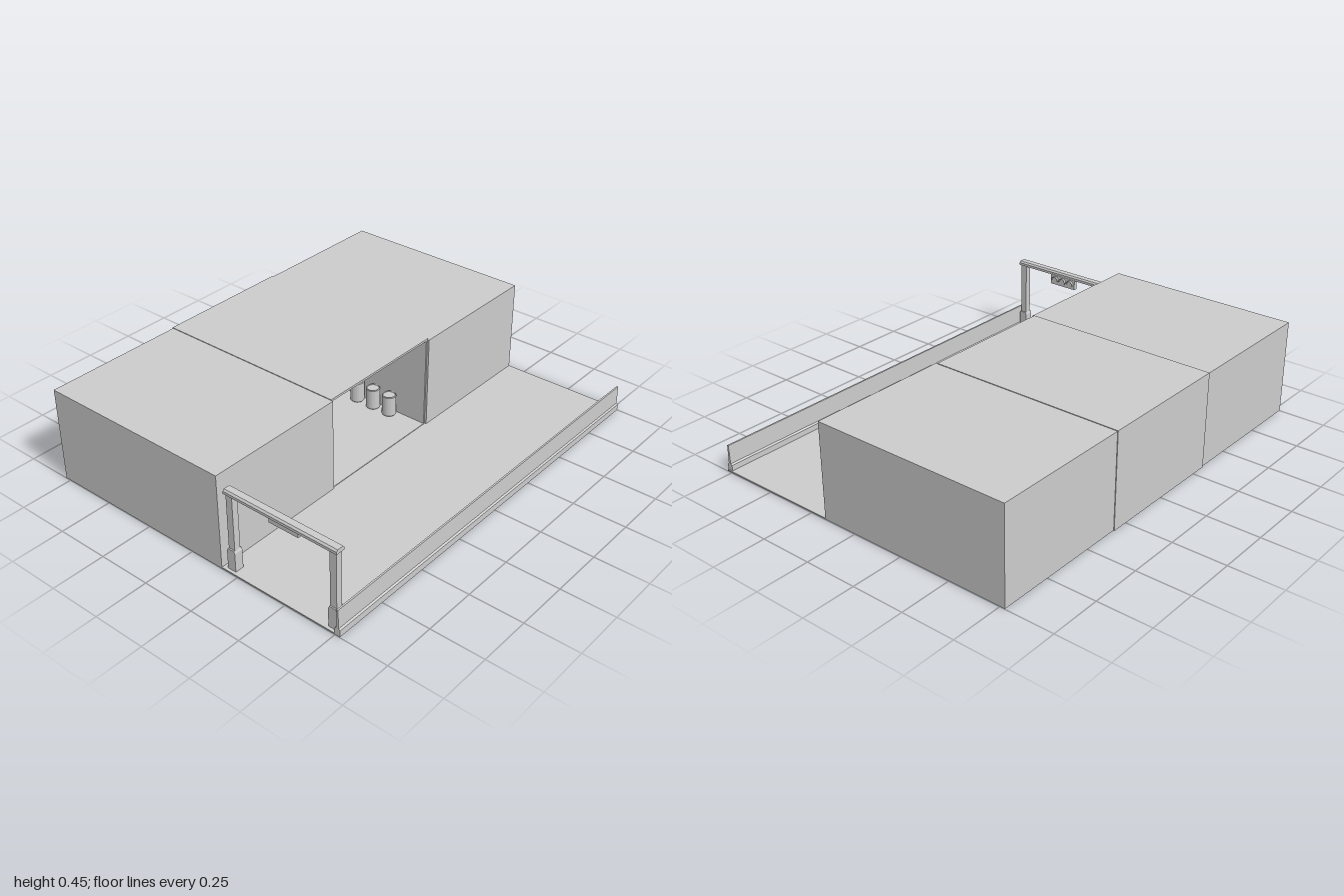
import * as THREE from 'three';

export function createModel() {
  const model = new THREE.Group();
  const mat = new THREE.MeshStandardMaterial({ color: 0xcccccc });

  const add = (name, geometry, parent = model) => {
    const mesh = new THREE.Mesh(geometry, mat);
    mesh.name = name;
    parent.add(mesh);
    return mesh;
  };
  // Box given by its min and max on each axis
  const box = (name, x0, x1, y0, y1, z0, z1, parent) => {
    const mesh = add(name, new THREE.BoxGeometry(x1 - x0, y1 - y0, z1 - z0), parent);
    mesh.position.set((x0 + x1) / 2, (y0 + y1) / 2, (z0 + z1) / 2);
    return mesh;
  };
  const group = (name) => {
    const g = new THREE.Group();
    g.name = name;
    model.add(g);
    return g;
  };
  const shape = (pts) => new THREE.Shape(pts.map(([x, y]) => new THREE.Vector2(x, y)));
  const extrude = (pts, depth) =>
    new THREE.ExtrudeGeometry(shape(pts), { depth, bevelEnabled: false });

  // Solid buildings on both sides of the open room
  box('frontBuilding', -0.775, 0.167, 0.002, 0.45, 0.325, 1);
  box('backBuilding', -0.775, 0.167, 0.002, 0.45, -1, -0.325);

  // Room shell, open towards the road
  const room = group('openRoom');
  const rx0 = -0.778, rx1 = 0.157;
  box('roomFloor', rx0, rx1, 0, 0.008, -0.328, 0.325, room);
  box('roomRoof', rx0, rx1, 0.443, 0.453, -0.328, 0.325, room);
  box('roomBackWall', rx0, rx0 + 0.01, 0.008, 0.443, -0.328, 0.325, room);
  for (const z of [-0.323, 0.32]) {
    box('roomSideWall', rx0 + 0.01, rx1, 0.008, 0.443, z - 0.005, z + 0.005, room);
  }

  // Barrels along the back side wall
  const barrelProfile = [
    [0, 0], [0.03, 0], [0.033, 0.004], [0.033, 0.1], [0.03, 0.104], [0.028, 0.1], [0, 0.1],
  ].map(([r, y]) => new THREE.Vector2(r, y));
  for (let i = 0; i < 3; i++) {
    const geometry = new THREE.LatheGeometry(barrelProfile, 20).toNonIndexed();
    geometry.computeVertexNormals();
    add('barrel', geometry, room).position.set(-0.02 - i * 0.095, 0.008, -0.285);
  }
  // Cabinets along the front side wall
  for (let i = 0; i < 3; i++) {
    const x = -0.29 + i * 0.15;
    box('cabinet', x - 0.057, x + 0.057, 0.008, 0.138, 0.263, 0.322, room);
  }

  // Road
  box('road', 0.16, 0.775, 0.002, 0.008, -1, 1);

  // Roadside barrier: wide foot and thin upper wall
  add('barrier', extrude([
    [0.749, 0.004], [0.776, 0.004], [0.776, 0.034], [0.769, 0.04],
    [0.767, 0.128], [0.759, 0.128], [0.757, 0.04], [0.749, 0.034],
  ], 1.995)).position.z = -0.995;

  // Gantry over the road
  const gantry = group('gantry');
  for (const x of [0.209, 0.728]) {
    box('post', x - 0.016, x + 0.016, 0.008, 0.37, 0.95, 0.98, gantry);
    const foot = add('postFoot', extrude([
      [-0.021, 0], [0.021, 0], [0.021, 0.088], [0.016, 0.1], [-0.016, 0.1], [-0.021, 0.088],
    ], 0.042), gantry);
    foot.position.set(x, 0.008, 0.944);
  }
  const beam = add('beam', extrude([
    [-0.022, 0], [0.022, 0], [0.022, 0.012], [0.015, 0.02], [-0.015, 0.02], [-0.022, 0.012],
  ], 0.565), gantry);
  beam.rotation.y = Math.PI / 2;
  beam.position.set(0.185, 0.368, 0.964);

  // Signal box with three hooded lamps facing back
  box('signalBox', 0.393, 0.541, 0.32, 0.37, 0.94, 0.958, gantry);
  for (let i = -1; i <= 1; i++) {
    const x = 0.467 + i * 0.047;
    const lamp = add('lamp', new THREE.CylinderGeometry(0.016, 0.016, 0.005, 16), gantry);
    lamp.rotation.x = Math.PI / 2;
    lamp.position.set(x, 0.344, 0.9385);
    const hood = add('lampHood', extrude([
      ...Array.from({ length: 9 }, (_, k) => [0.02 * Math.cos(k * Math.PI / 8), 0.02 * Math.sin(k * Math.PI / 8)]),
      ...Array.from({ length: 9 }, (_, k) => [-0.017 * Math.cos(k * Math.PI / 8), 0.017 * Math.sin(k * Math.PI / 8)]),
    ], 0.012), gantry);
    hood.position.set(x, 0.344, 0.929);
  }

  return model;
}
